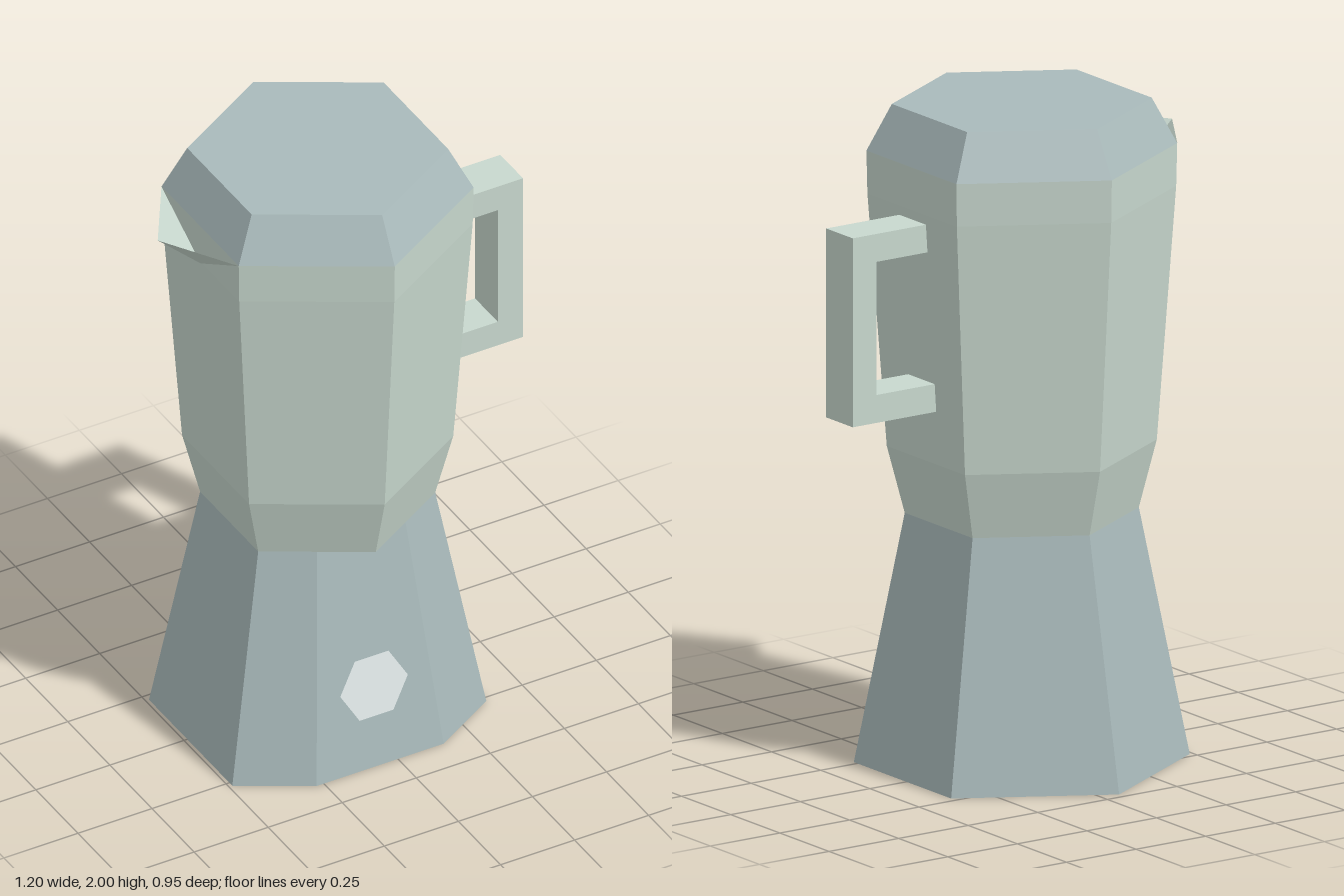
import * as THREE from 'three';

const CX = -0.06, CZ = 0.02; // vertical axis of the pot

function material(color, side = THREE.FrontSide) {
  return new THREE.MeshStandardMaterial({ color, side, flatShading: true });
}

function addMesh(group, name, geometry, mat) {
  const flat = geometry.index ? geometry.toNonIndexed() : geometry;
  flat.computeVertexNormals();
  const mesh = new THREE.Mesh(flat, mat);
  mesh.name = name;
  group.add(mesh);
  return mesh;
}

// Six-sided turned shape, corners towards +z and -z; profile is [radius, y] from bottom to top
function hexLathe(profile) {
  const points = profile.map(([r, y]) => new THREE.Vector2(r, y));
  return new THREE.LatheGeometry(points, 6).translate(CX, 0, CZ);
}

function fromTriangles(triangles) {
  const geometry = new THREE.BufferGeometry();
  geometry.setAttribute('position', new THREE.Float32BufferAttribute(triangles.flat(2), 3));
  return geometry;
}

// Tapered base: a hexagon whose front corner is cut off halfway along its two edges
function baseGeometry(rBottom, rTop, height) {
  const c = Math.cos(Math.PI / 6);
  const outline = [[c / 2, 0.75], [c, 0.5], [c, -0.5], [0, -1], [-c, -0.5], [-c, 0.5], [-c / 2, 0.75]];
  const ring = (r, y) => outline.map(([x, z]) => [CX + x * r, y, CZ + z * r]);
  const low = ring(rBottom, 0), high = ring(rTop, height);
  const triangles = [];
  for (let i = 0; i < outline.length; i++) {
    const j = (i + 1) % outline.length;
    triangles.push([low[i], low[j], high[j]], [low[i], high[j], high[i]]);
    triangles.push([[CX, 0, CZ], low[j], low[i]], [[CX, height, CZ], high[i], high[j]]);
  }
  return fromTriangles(triangles);
}

export function createModel() {
  const group = new THREE.Group();
  const bodyMat = material(0xc8d8ce);
  const darkMat = material(0xa9babb);

  // Water chamber
  addMesh(group, 'base', baseGeometry(0.495, 0.345, 0.755), darkMat);

  // Upper jug
  addMesh(group, 'body', hexLathe([[0, 0.755], [0.345, 0.755], [0.398, 0.96], [0.455, 1.73], [0.458, 1.86]]), bodyMat);

  // Bevelled lid
  addMesh(group, 'lid', hexLathe([[0.458, 1.86], [0.383, 2], [0, 2]]), darkMat);

  // Open V-shaped spout
  const tip = [-0.6, 1.86, CZ], foot = [-0.455, 1.725, CZ];
  addMesh(group, 'spout', fromTriangles([
    [[-0.457, 1.86, CZ + 0.229], tip, foot],
    [tip, [-0.457, 1.86, CZ - 0.229], foot],
  ]), material(0xc8d8ce, THREE.DoubleSide));

  // Square C-shaped handle
  const outline = [[0.285, 1.125], [0.595, 1.125], [0.595, 1.7], [0.32, 1.7],
    [0.32, 1.615], [0.51, 1.615], [0.51, 1.21], [0.285, 1.21]];
  const shape = new THREE.Shape(outline.map(([x, y]) => new THREE.Vector2(x, y)));
  const handle = new THREE.ExtrudeGeometry(shape, { depth: 0.135, bevelEnabled: false });
  addMesh(group, 'handle', handle.translate(0, 0, CZ - 0.0675), bodyMat);

  // Hexagonal safety valve lying on the sloped front face
  const valve = addMesh(group, 'valve', new THREE.CircleGeometry(0.114, 6), material(0xe2eaea));
  valve.position.set(CX, 0.264, 0.355);
  valve.rotation.x = -Math.atan(0.1125 / 0.755);

  return group;
}
